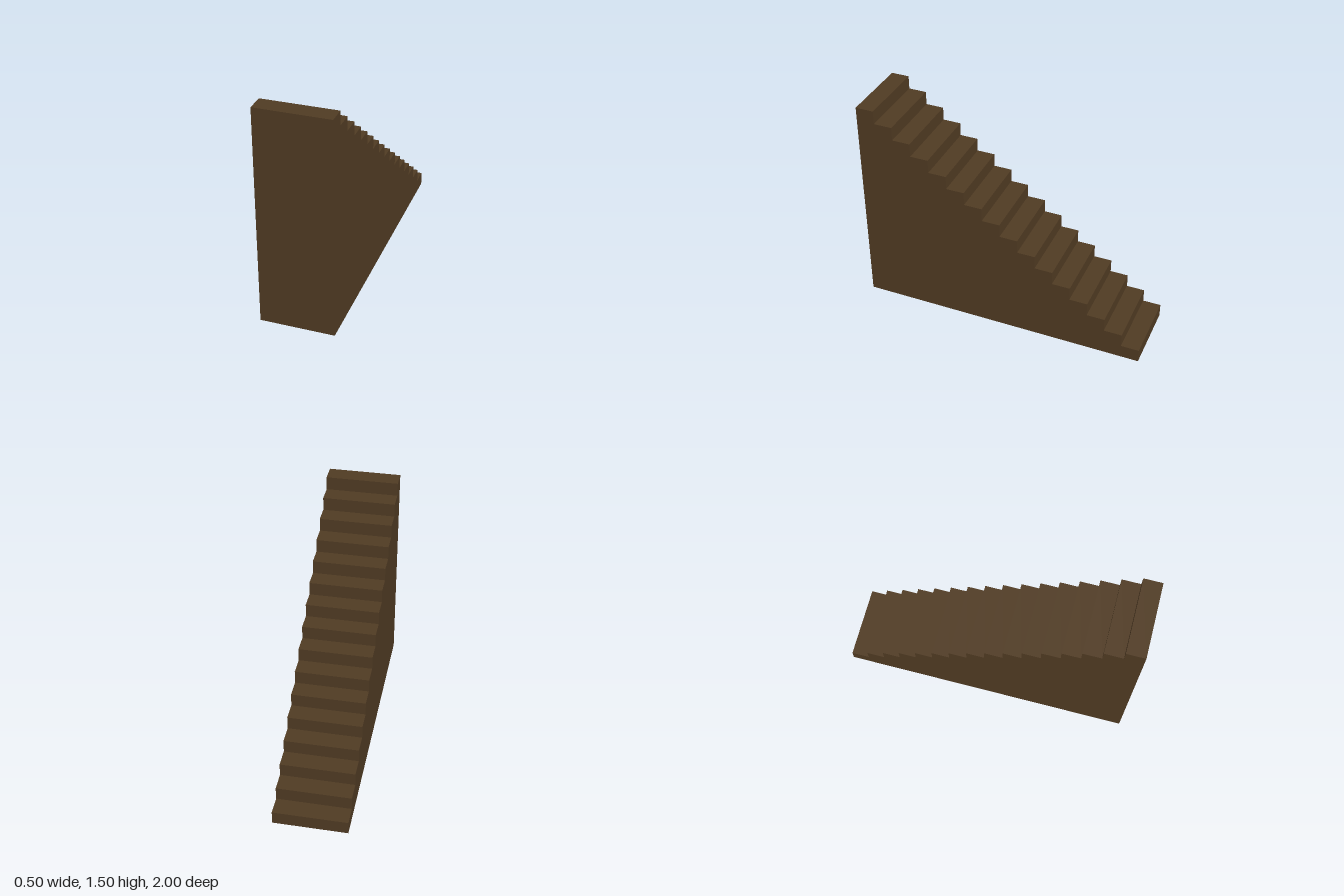
import * as THREE from 'three';

const STEPS = 16;
const WIDTH = 0.5;
const LENGTH = 2;
const HEIGHT = 1.5;

export function createModel() {
  const group = new THREE.Group();
  group.name = 'staircase';

  const wood = new THREE.MeshStandardMaterial({ color: 0x503b23 });
  wood.name = 'dark brown wood';

  // Stepped side profile: low at the back (-z), tall at the front (+z)
  const run = LENGTH / STEPS;
  const rise = HEIGHT / STEPS;
  const profile = new THREE.Shape();
  profile.moveTo(-LENGTH / 2, 0);
  profile.lineTo(LENGTH / 2, 0);
  for (let i = STEPS; i > 0; i--) {
    profile.lineTo(-LENGTH / 2 + i * run, i * rise);
    profile.lineTo(-LENGTH / 2 + (i - 1) * run, i * rise);
  }
  profile.closePath();

  // Solid flight of steps, extruded across x
  const geometry = new THREE.ExtrudeGeometry(profile, { depth: WIDTH, bevelEnabled: false });
  geometry.translate(0, 0, -WIDTH / 2);
  geometry.rotateY(-Math.PI / 2);

  const stairs = new THREE.Mesh(geometry, wood);
  stairs.name = 'solidSteps';
  group.add(stairs);
  return group;
}
